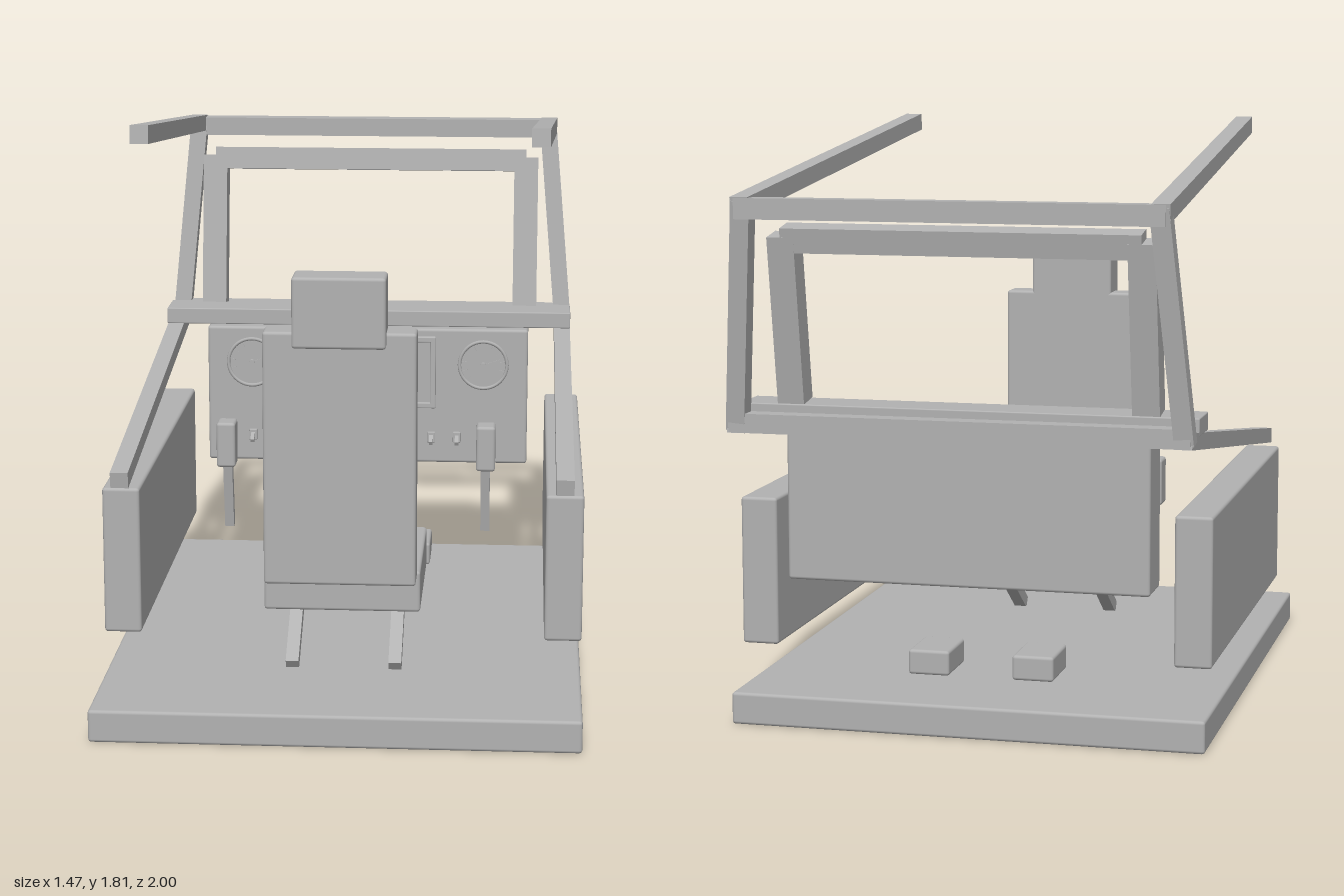
import * as THREE from 'three';
import { RoundedBoxGeometry } from 'three/addons/geometries/RoundedBoxGeometry.js';

export function createModel() {
  const model = new THREE.Group();
  const grey = new THREE.MeshStandardMaterial({ color: 0xb2b2b2 });
  grey.name = 'plain grey';

  function add(name, geometry, parent = model) {
    const mesh = new THREE.Mesh(geometry, grey);
    mesh.name = name;
    parent.add(mesh);
    return mesh;
  }

  // Box given by its limits on each axis, with a small bevel when r > 0
  function block(name, [x0, x1], [y0, y1], [z0, z1], r = 0.01, parent = model) {
    const size = [x1 - x0, y1 - y0, z1 - z0];
    const geometry = r > 0 ? new RoundedBoxGeometry(...size, 2, r) : new THREE.BoxGeometry(...size);
    const mesh = add(name, geometry, parent);
    mesh.position.set((x0 + x1) / 2, (y0 + y1) / 2, (z0 + z1) / 2);
    return mesh;
  }

  // Square bar from point a to point b
  function bar(name, a, b, w, h = w, up = [0, 1, 0]) {
    const from = new THREE.Vector3(...a), to = new THREE.Vector3(...b);
    const mesh = add(name, new THREE.BoxGeometry(w, h, from.distanceTo(to)));
    mesh.up.set(...up);
    mesh.position.copy(from).lerp(to, 0.5);
    mesh.lookAt(to);
    return mesh;
  }

  // Floor and dashboard
  block('floor', [-0.735, 0.735], [0, 0.1], [-0.82, 1]);
  block('dashboard', [-0.56, 0.56], [0.455, 0.935], [-0.78, -0.62]);
  block('dashboardLedge', [-0.705, 0.705], [0.94, 0.995], [-0.785, -0.635], 0.004);

  // Seat
  block('seatCushion', [-0.24, 0.24], [0.31, 0.44], [0.14, 0.64]);
  block('seatBack', [-0.23, 0.23], [0.425, 1.205], [0.65, 0.747]);
  block('headrest', [-0.14, 0.14], [1.16, 1.375], [0.65, 0.775]);

  // Cab frame cross bars
  bar('upperCrossBar', [-0.64, 1.597, -0.967], [0.64, 1.597, -0.967], 0.062);
  bar('lowerCrossBar', [-0.7, 0.95, -0.875], [0.7, 0.95, -0.875], 0.058);

  // Windscreen top, tilted with its pillars
  const header = add('windscreenHeader', new THREE.BoxGeometry(1.09, 0.075, 0.075));
  header.position.set(0, 1.5, -0.824);
  header.rotation.x = -0.165;

  for (const s of [-1, 1]) {
    const side = s > 0 ? 'left' : 'right';
    const span = (a, b) => (s > 0 ? [a, b] : [-b, -a]);

    block(side + 'SideConsole', span(0.62, 0.735), [0.23, 0.69], [-0.71, 0.65]);
    block(side + 'Pedal', span(0.1, 0.23), [0.137, 0.215], [-0.615, -0.425]);
    bar(side + 'SeatStrut', [s * 0.16, 0.11, 0.575], [s * 0.16, 0.33, 0.25], 0.04);

    // Open cab frame
    bar(side + 'LowerRail', [s * 0.677, 0.722, 0.675], [s * 0.677, 0.945, -0.9], 0.055, 0.05);
    bar(side + 'RearPost', [s * 0.68, 0.93, -0.872], [s * 0.62, 1.62, -0.968], 0.058, 0.058, [0, 0, 1]);
    bar(side + 'RoofRail', [s * 0.588, 1.787, 0.73], [s * 0.625, 1.603, -0.99], 0.055);
    bar(side + 'WindscreenPillar', [s * 0.545, 1.0, -0.737], [s * 0.545, 1.51, -0.822], 0.083, 0.083, [0, 0, 1]);

    // Control lever
    bar(side + 'LeverShaft', [s * 0.425, 0.375, -0.07], [s * 0.425, 0.62, -0.025], 0.03, 0.03, [0, 0, 1]);
    block(side + 'LeverGrip', span(0.395, 0.457), [0.595, 0.745], [-0.055, 0.025]);

    // Round gauge with ticks and needle
    const gauge = new THREE.Group();
    gauge.name = side + 'Gauge';
    gauge.position.set(s * 0.405, 0.81, -0.62);
    model.add(gauge);
    const dial = add('dial', new THREE.CylinderGeometry(0.083, 0.083, 0.012, 32), gauge);
    dial.rotation.x = Math.PI / 2;
    add('rim', new THREE.TorusGeometry(0.083, 0.006, 8, 40), gauge).position.z = 0.006;
    for (let i = 0; i < 11; i++) {
      const a = THREE.MathUtils.degToRad(-45 + i * 27);
      const tick = add('tick', new THREE.BoxGeometry(0.016, 0.004, 0.004), gauge);
      tick.position.set(Math.cos(a) * 0.066, Math.sin(a) * 0.066, 0.007);
      tick.rotation.z = a;
    }
    const needle = add('needle', new THREE.BoxGeometry(0.065, 0.006, 0.004), gauge);
    needle.position.set(0.031, 0.01, 0.014);
    needle.rotation.z = 0.32;
    const hub = add('hub', new THREE.CylinderGeometry(0.01, 0.01, 0.022, 16), gauge);
    hub.rotation.x = Math.PI / 2;
    hub.position.z = 0.011;

    // Toggle switches
    for (const x of [0.14, 0.225, 0.315, 0.403]) {
      block('switchBase', [s * x - 0.014, s * x + 0.014], [0.53, 0.568], [-0.622, -0.608], 0.003);
      bar('switchLever', [s * x, 0.552, -0.612], [s * x, 0.534, -0.578], 0.013);
    }
  }

  // Central display: raised bezel, screen and readout lines
  block('displayScreen', [-0.225, 0.225], [0.67, 0.895], [-0.622, -0.612], 0);
  for (const y of [[0.655, 0.675], [0.89, 0.91]])
    block('bezelBar', [-0.24, 0.24], y, [-0.622, -0.6], 0.004);
  for (const x of [[-0.24, -0.22], [0.22, 0.24]])
    block('bezelSide', x, [0.655, 0.91], [-0.622, -0.6], 0.004);
  [0.16, 0.2, 0.24, 0.2].forEach((w, i) => {
    const y = 0.85 - i * 0.043;
    block('readoutLine', [-0.13, -0.13 + w], [y - 0.004, y + 0.004], [-0.613, -0.608], 0);
  });

  // Large central button
  block('centralButton', [-0.055, 0.055], [0.515, 0.59], [-0.622, -0.572], 0.008);

  return model;
}
